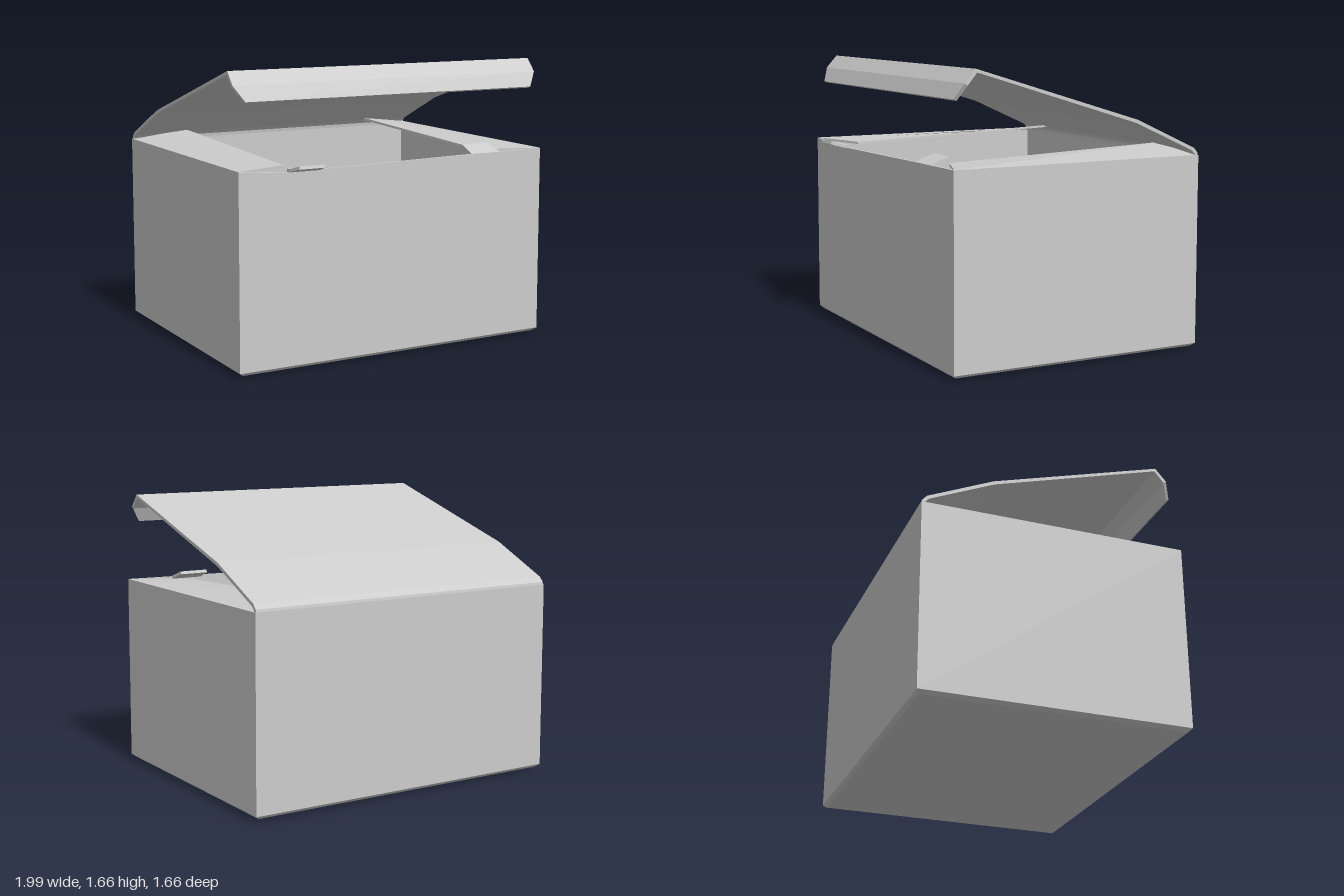
import * as THREE from 'three';

const material = new THREE.MeshStandardMaterial({ color: 0xcccccc, flatShading: true });

// Collects quads (counter-clockwise corners) into a flat-shaded mesh
function quadMesh(name, quads) {
  const pos = [];
  for (const [a, b, c, d] of quads) {
    for (const p of [a, b, c, a, c, d]) pos.push(p.x, p.y, p.z);
  }
  const geo = new THREE.BufferGeometry();
  geo.setAttribute('position', new THREE.Float32BufferAttribute(pos, 3));
  geo.computeVertexNormals();
  const mesh = new THREE.Mesh(geo, material);
  mesh.name = name;
  return mesh;
}

// Folded board: each row is a pair of points on the upper face, thickness goes below
function board(name, rows, thickness) {
  const top = rows.map(r => r.map(p => new THREE.Vector3(...p)));
  const under = top.map(([a, b], i) => {
    const across = b.clone().sub(a);
    const along = new THREE.Vector3();
    for (const [j, k] of [[i - 1, i], [i, i + 1]]) {
      if (!top[j] || !top[k]) continue;
      const mid = (r) => r[0].clone().add(r[1]).multiplyScalar(0.5);
      along.add(mid(top[k]).sub(mid(top[j])).normalize());
    }
    const n = across.cross(along).normalize().multiplyScalar(thickness);
    return [a.clone().sub(n), b.clone().sub(n)];
  });
  const quads = [];
  const last = rows.length - 1;
  for (let i = 0; i < last; i++) {
    const [a, b] = top[i], [c, d] = top[i + 1];
    const [e, f] = under[i], [g, h] = under[i + 1];
    quads.push([a, b, d, c], [f, e, g, h], [a, c, g, e], [b, f, h, d]);
  }
  quads.push([top[0][1], top[0][0], under[0][0], under[0][1]]);
  quads.push([top[last][0], top[last][1], under[last][1], under[last][0]]);
  return quadMesh(name, quads);
}

// Open carton: rectangular rings run up the outside, over the rim and down the inside
function carton() {
  const dips = [[-1, 0], [-0.7, 0.026], [-0.5, 0.02], [0.5, 0.006], [0.7, 0.004], [1, 0]];
  const ring = (x, front, back, y, dip = 0) => [
    ...dips.map(([u, d]) => new THREE.Vector3(u * x, y - d * dip, front)),
    new THREE.Vector3(x, y, back),
    new THREE.Vector3(-x, y, back),
  ];
  const rings = [
    ring(0, 0, 0, 0),
    ring(0.97, 0.725, -0.805, 0.016),
    ring(0.995, 0.745, -0.825, 0.035),
    ring(0.99, 0.742, -0.825, 1.14, 1),
    ring(0.975, 0.725, -0.808, 1.14, 1),
    ring(0.975, 0.725, -0.808, 0.045),
    ring(0, 0, 0, 0.03),
  ];
  const quads = [];
  for (let i = 0; i < rings.length - 1; i++) {
    const lo = rings[i], hi = rings[i + 1], n = lo.length;
    for (let j = 0; j < n; j++) {
      const k = (j + 1) % n;
      if (i === 0) quads.push([hi[k], hi[j], lo[j], lo[k]]);
      else quads.push([lo[j], lo[k], hi[k], hi[j]]);
    }
  }
  return quadMesh('carton', quads);
}

export function createModel() {
  const group = new THREE.Group();
  group.name = 'openBox';
  group.add(carton());

  // Lid: half width, y, z from the back hinge to the tapered front lip
  const lid = [
    [0.985, 1.13, -0.825], [0.985, 1.155, -0.82], [0.985, 1.183, -0.795],
    [0.985, 1.358, -0.41], [0.985, 1.665, 0.605],
    [0.985, 1.59, 0.672], [0.93, 1.505, 0.712],
  ];
  group.add(board('lid', lid.map(([x, y, z]) => [[x, y, z], [-x, y, z]]), 0.02));

  // Side flaps folded inward, lifting towards the back
  for (const s of [1, -1]) {
    const rows = [
      [[0.985 * s, 1.14, 0.735], [0.985 * s, 1.14, -0.81]],
      [[0.65 * s, 1.135, 0.6], [0.65 * s, 1.185, -0.77]],
    ];
    if (s < 0) rows.forEach(r => r.reverse());
    group.add(board(s > 0 ? 'leftFlap' : 'rightFlap', rows, 0.014));
  }

  // Front tabs: one bent outward, one bent inward
  group.add(board('outwardTab', [
    [[-0.69, 1.135, 0.72], [-0.505, 1.135, 0.72]],
    [[-0.69, 1.135, 0.745], [-0.505, 1.135, 0.745]],
    [[-0.673, 1.16, 0.83], [-0.518, 1.16, 0.83]],
  ].map(r => r.reverse()), 0.018));
  group.add(board('inwardTab', [
    [[0.5, 1.135, 0.742], [0.7, 1.135, 0.742]],
    [[0.51, 1.178, 0.625], [0.69, 1.178, 0.625]],
  ], 0.018));

  return group;
}
